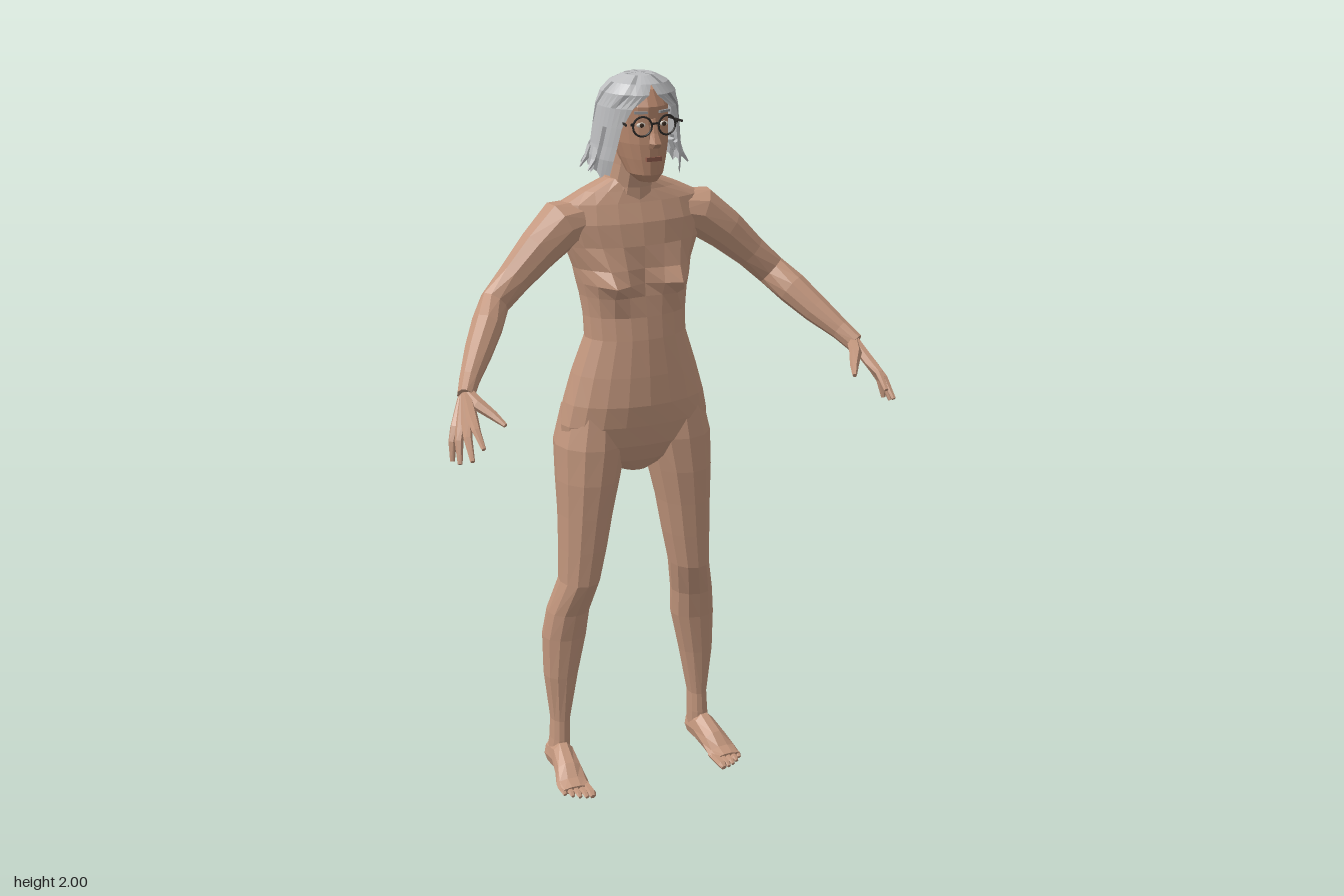
import * as THREE from 'three';

const mat = (name, color, double) => {
  const m = new THREE.MeshStandardMaterial({ color });
  m.name = name;
  if (double) m.side = THREE.DoubleSide;
  return m;
};

// Facetted geometry from a flat list of triangle corners
function facets(tris) {
  const g = new THREE.BufferGeometry();
  g.setAttribute('position', new THREE.Float32BufferAttribute(tris.flatMap(p => [p.x, p.y, p.z]), 3));
  g.computeVertexNormals();
  return g;
}

// Loft of elliptical rings [x, y, z, ru, rv]; level rings must rise in y.
// rule() may move each vertex; side = -1 mirrors the part across x.
function loft(rows, { sides = 8, level = false, side = 1, rule = null } = {}) {
  const c = rows.map(r => new THREE.Vector3(r[0], r[1], r[2]));
  const up = new THREE.Vector3(0, 1, 0);
  const rings = rows.map((r, i) => {
    const t = c[Math.min(i + 1, c.length - 1)].clone().sub(c[Math.max(i - 1, 0)]).normalize();
    const u = level ? new THREE.Vector3(1, 0, 0) : up.clone().cross(t).normalize();
    const v = level ? new THREE.Vector3(0, 0, -1) : t.clone().cross(u);
    return Array.from({ length: sides }, (_, j) => {
      const a = (j / sides) * Math.PI * 2;
      const p = c[i].clone().addScaledVector(u, Math.cos(a) * r[3])
        .addScaledVector(v, Math.sin(a) * (r[4] ?? r[3]));
      if (rule) rule(p, c[i]);
      return p;
    });
  });
  const tris = [], last = rings.length - 1;
  for (let j = 0; j < sides; j++) {
    const k = (j + 1) % sides;
    for (let i = 0; i < last; i++) {
      const [a, b, d, e] = [rings[i][j], rings[i][k], rings[i + 1][j], rings[i + 1][k]];
      tris.push(a, b, d, b, e, d);
    }
    tris.push(c[0], rings[0][k], rings[0][j], c[last], rings[last][j], rings[last][k]);
  }
  if (side > 0) return facets(tris);
  const flipped = tris.map(p => new THREE.Vector3(-p.x, p.y, p.z));
  for (let i = 0; i < flipped.length; i += 3) [flipped[i + 1], flipped[i + 2]] = [flipped[i + 2], flipped[i + 1]];
  return facets(flipped);
}

// Rows given as [y, half width, front z, back z]
const slices = rows => rows.map(([y, w, f, b]) => [0, y, (f + b) / 2, w, (f - b) / 2]);
const bump = (x, y, cx, cy, sx, sy) => Math.exp(-(((Math.abs(x) - cx) / sx) ** 2) - ((y - cy) / sy) ** 2);

export function createModel() {
  const model = new THREE.Group();
  model.name = 'figure';
  const skin = mat('skin', 0xc2967d), faceSkin = mat('face skin', 0xb5866c);
  const hair = mat('grey hair', 0xbcbdbf, true), strand = mat('dark strands', 0x929395, true);
  const frame = mat('spectacle frame', 0x2b2826), white = mat('eye white', 0xd9d2c8);
  const iris = mat('iris', 0x3a2a20), lip = mat('lips', 0x8f5a4b);
  const add = (name, geo, m, parent = model) => {
    const mesh = new THREE.Mesh(geo, m);
    mesh.name = name;
    parent.add(mesh);
    return mesh;
  };

  // Torso, with chest and hips shaped by a rule
  add('torso', loft(slices([
    [0.91, 0.04, -0.08, -0.16], [0.95, 0.15, -0.05, -0.2], [1.0, 0.21, -0.025, -0.22],
    [1.06, 0.213, -0.01, -0.22], [1.12, 0.2, 0, -0.23], [1.2, 0.177, -0.005, -0.225],
    [1.3, 0.143, -0.015, -0.2], [1.36, 0.145, -0.025, -0.2], [1.415, 0.152, -0.035, -0.21],
    [1.45, 0.16, -0.04, -0.215], [1.49, 0.168, -0.04, -0.22], [1.55, 0.19, -0.04, -0.222],
    [1.61, 0.21, -0.05, -0.222], [1.66, 0.2, -0.07, -0.215], [1.69, 0.14, -0.08, -0.205],
    [1.72, 0.07, -0.085, -0.19],
  ]), {
    sides: 20, level: true,
    rule: (p, c) => {
      if (p.z > c.z + 0.01) p.z += 0.058 * bump(p.x, p.y, 0.09, 1.455, 0.045, 0.04);
      if (p.z < c.z - 0.01) p.z -= 0.062 * bump(p.x, p.y, 0.1, 1.06, 0.07, 0.09);
    },
  }), skin);
  add('neck', loft([[0, 1.62, -0.145, 0.085, 0.07], [0, 1.7, -0.132, 0.063, 0.062],
    [0, 1.76, -0.115, 0.056, 0.06], [0, 1.82, -0.1, 0.055, 0.058]], { sides: 12, level: true }), skin);

  for (const side of [1, -1]) {
    const tag = side > 0 ? 'left' : 'right';
    // Leg and foot
    add(tag + 'Leg', loft([
      [0.222, 0.04, -0.16, 0.032, 0.038], [0.217, 0.1, -0.157, 0.028, 0.038],
      [0.215, 0.16, -0.158, 0.027, 0.037], [0.21, 0.3, -0.16, 0.049, 0.05],
      [0.198, 0.42, -0.16, 0.063, 0.06], [0.19, 0.5, -0.147, 0.06, 0.062],
      [0.167, 0.6, -0.117, 0.056, 0.07], [0.156, 0.7, -0.116, 0.066, 0.078],
      [0.147, 0.8, -0.117, 0.075, 0.087], [0.137, 0.9, -0.122, 0.088, 0.1],
      [0.125, 1.0, -0.13, 0.1, 0.108], [0.115, 1.1, -0.13, 0.085, 0.095],
    ], { sides: 12, level: true, side }), skin);
    add(tag + 'Foot', loft([
      [0.222, 0.032, -0.2, 0.02, 0.02], [0.222, 0.042, -0.18, 0.034, 0.04],
      [0.222, 0.05, -0.12, 0.034, 0.048], [0.228, 0.036, -0.06, 0.04, 0.034],
      [0.234, 0.021, -0.02, 0.046, 0.019], [0.236, 0.016, 0.015, 0.042, 0.013],
    ], { sides: 10, side }), skin);
    for (let i = 0; i < 5; i++) {
      const x = 0.202 + i * 0.017, r = i ? 0.009 : 0.013, tip = 0.06 - i * i * 0.0025;
      add(tag + 'Toe', loft([[x, 0.016, -0.02, r], [x + 0.001, 0.016, tip - 0.012, r, r * 0.9],
        [x + 0.001, 0.011, tip, r * 0.6]], { sides: 6, side }), skin);
    }

    // Arm
    add(tag + 'Arm', loft([
      [0.12, 1.62, -0.145, 0.06, 0.05], [0.2, 1.605, -0.135, 0.066, 0.068],
      [0.27, 1.55, -0.118, 0.054, 0.058], [0.34, 1.485, -0.107, 0.043, 0.047],
      [0.4, 1.428, -0.095, 0.038, 0.043], [0.44, 1.385, -0.045, 0.042, 0.045],
      [0.485, 1.335, 0.01, 0.037, 0.039], [0.53, 1.288, 0.07, 0.027, 0.029],
      [0.555, 1.258, 0.11, 0.022, 0.027],
    ], { sides: 10, side }), skin);

    // Hand: four fingers running from the wrist, then the thumb
    const tips = [[0.565, 1.17, 0.268], [0.593, 1.14, 0.262], [0.61, 1.12, 0.215], [0.615, 1.113, 0.17]];
    tips.forEach(([x, y, z], i) => {
      const k = [0.563 + i * 0.011, 1.222 - i * 0.01, 0.18 - i * 0.011];
      const mid = [(k[0] + x) / 2 + 0.004, (k[1] + y) / 2 + 0.008, (k[2] + z) / 2];
      add(tag + 'Finger', loft([[0.552 + i * 0.003, 1.265 - i * 0.005, 0.105, 0.015], [...k, 0.015],
        [...mid, 0.011], [x, y, z, 0.006]], { sides: 6, side }), skin);
    });
    add(tag + 'Thumb', loft([[0.55, 1.265, 0.105, 0.016], [0.535, 1.245, 0.15, 0.017],
      [0.51, 1.225, 0.19, 0.012], [0.492, 1.208, 0.225, 0.006]], { sides: 6, side }), skin);
  }

  // Head
  const head = new THREE.Group();
  head.name = 'head';
  model.add(head);
  add('face', loft(slices([
    [1.73, 0.025, 0.008, -0.06], [1.75, 0.046, 0.018, -0.1], [1.79, 0.06, 0.02, -0.14],
    [1.83, 0.07, 0.02, -0.165], [1.88, 0.073, 0.016, -0.18], [1.925, 0.074, 0.016, -0.18],
    [1.965, 0.058, -0.01, -0.15],
  ]), { sides: 18, level: true }), faceSkin, head);
  add('nose', loft([[0, 1.822, 0.022, 0.017, 0.012], [0, 1.835, 0.029, 0.017, 0.021],
    [0, 1.86, 0.02, 0.01, 0.015], [0, 1.895, 0.01, 0.008, 0.01]], { sides: 6, level: true }), faceSkin, head);
  add('mouth', new THREE.BoxGeometry(0.042, 0.011, 0.008), lip, head).position.set(0, 1.792, 0.018);

  for (const s of [1, -1]) {
    const put = (name, geo, m, x, y, z) => {
      const o = add(name, geo, m, head);
      o.position.set(s * x, y, z);
      return o;
    };
    put('eyeWhite', new THREE.SphereGeometry(0.013, 10, 6), white, 0.031, 1.88, 0.008).scale.set(1, 0.5, 0.45);
    put('iris', new THREE.SphereGeometry(0.006, 8, 6), iris, 0.031, 1.88, 0.013).scale.z = 0.4;
    put('eyebrow', new THREE.BoxGeometry(0.034, 0.006, 0.008), strand, 0.032, 1.912, 0.01).rotation.y = s * 0.35;
    // Spectacles
    put('lensRim', new THREE.TorusGeometry(0.025, 0.0028, 5, 16), frame, 0.034, 1.879, 0.024).rotation.y = s * 0.12;
    put('templeBar', new THREE.BoxGeometry(0.004, 0.005, 0.1), frame, 0.07, 1.885, -0.027).rotation.y = s * 0.15;
    put('hinge', new THREE.BoxGeometry(0.008, 0.006, 0.006), frame, 0.061, 1.885, 0.021);
  }
  add('spectacleBridge', new THREE.BoxGeometry(0.018, 0.005, 0.005), frame, head).position.set(0, 1.885, 0.026);

  // Bobbed hair: [y, half width, front z, back z, half angle open at the face]
  const rows = [[2.0, 0, -0.075, -0.075, 0], [1.998, 0.04, -0.03, -0.12, 0], [1.98, 0.075, 0, -0.16, 0],
    [1.955, 0.096, 0.016, -0.187, 0.12], [1.92, 0.106, 0.02, -0.203, 0.52], [1.87, 0.112, 0.018, -0.21, 0.74],
    [1.82, 0.118, 0.014, -0.215, 0.8], [1.78, 0.124, 0.01, -0.218, 0.84], [1.73, 0.124, 0, -0.222, 0.9]];
  const N = 36, light = [], dark = [];
  const at = (r, i) => {
    const [y, w, f, b, gap] = rows[r];
    const a = gap + (i / N) * 2 * (Math.PI - gap);
    const back = (1 - Math.cos(a)) / 2, end = r === rows.length - 1;
    const rise = end ? 0.045 * back + (i % 3 === 1 ? -0.008 : 0.006) : r === rows.length - 2 ? 0.02 * back : 0;
    return new THREE.Vector3(w * Math.sin(a), y + rise, (f + b) / 2 + ((f - b) / 2) * Math.cos(a));
  };
  for (let r = 0; r < rows.length - 1; r++) {
    for (let i = 0; i < N; i++) {
      const a = at(r, i), b = at(r, i + 1), c = at(r + 1, i), d = at(r + 1, i + 1);
      const list = i % 5 === 2 && (i + r) % 4 ? dark : light;
      list.push(c, d, a, d, b, a);
    }
  }
  add('hair', facets(light), hair, head);
  add('hairStrands', facets(dark), strand, head);

  // Flicked lock ends around the hem
  for (const s of [1, -1]) {
    for (const a of [1.35, 1.75, 2.2, 2.55, 2.9]) {
      const x = Math.sin(a), z = Math.cos(a);
      add('lockEnd', loft([[x * 0.115, 1.81, -0.11 + z * 0.1, 0.016, 0.01],
        [x * 0.127, 1.78, -0.11 + z * 0.115, 0.012, 0.007],
        [x * 0.145, 1.755, -0.11 + z * 0.135, 0.002]], { sides: 5, side: s }), hair, head);
    }
  }
  return model;
}
